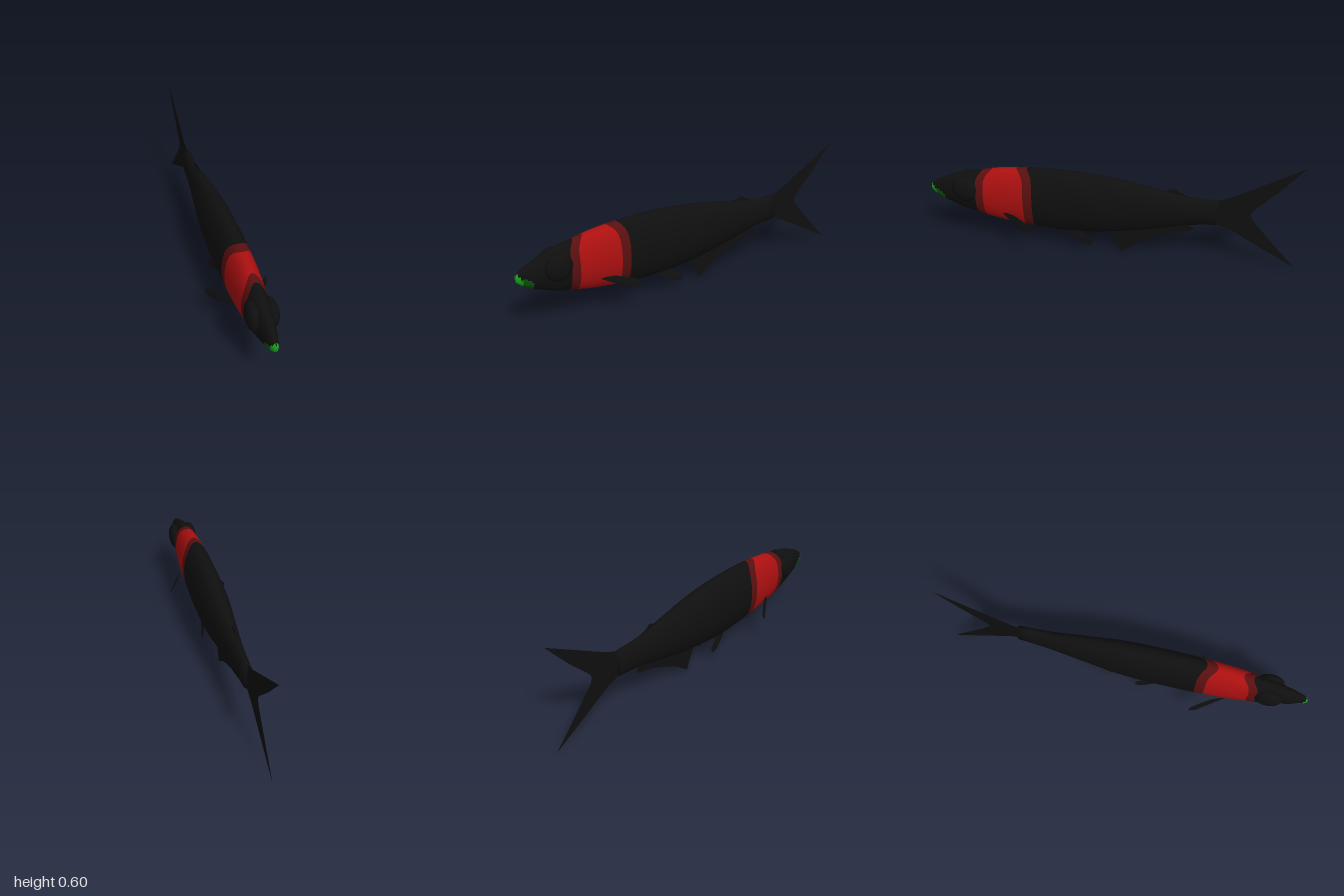
import * as THREE from 'three';

const mat = (name, color, side = THREE.FrontSide) => {
  const m = new THREE.MeshStandardMaterial({ color, side });
  m.name = name;
  return m;
};

// Body stations from snout to tail: z, belly y, back y, half width
const STATIONS = [
  [1.0, 0.295, 0.33, 0.01], [0.985, 0.28, 0.345, 0.018], [0.95, 0.255, 0.365, 0.027],
  [0.9, 0.232, 0.388, 0.037], [0.8, 0.192, 0.424, 0.052], [0.72, 0.174, 0.437, 0.061],
  [0.6, 0.147, 0.46, 0.071], [0.42, 0.125, 0.475, 0.078], [0.2, 0.115, 0.474, 0.08],
  [0.0, 0.132, 0.456, 0.077], [-0.2, 0.165, 0.422, 0.057], [-0.4, 0.21, 0.383, 0.038],
  [-0.5, 0.225, 0.377, 0.033], [-0.57, 0.23, 0.376, 0.029],
];

// Smooth interpolation between the stations
function profile(z) {
  const S = STATIONS, last = S.length - 1;
  let i = 0;
  while (i < last - 1 && z < S[i + 1][0]) i++;
  const a = S[i], b = S[i + 1], p = S[Math.max(i - 1, 0)], n = S[Math.min(i + 2, last)];
  const h = b[0] - a[0], t = (z - a[0]) / h;
  return [1, 2, 3].map((k) => {
    const ma = (b[k] - p[k]) / (b[0] - p[0]) * h, mb = (n[k] - a[k]) / (n[0] - a[0]) * h;
    return a[k] * (2 * t ** 3 - 3 * t * t + 1) + ma * (t ** 3 - 2 * t * t + t)
      + b[k] * (3 * t * t - 2 * t ** 3) + mb * (t ** 3 - t * t);
  });
}

// Material slots: 0 black, 1 dark red, 2 red, 3 dark green, 4 green
function bodySlot(z, x, y) {
  if (z > 0.92) {
    if (Math.hypot(x / 0.021, (y - 0.302) / 0.033) < 1) return 4;
    if (Math.hypot(x / 0.031, (y - 0.283) / 0.042) < 1) return 3;
    return 0;
  }
  if (z < 0.69 && z > 0.465) return 2;
  if (z < 0.735 && z > 0.415) return 1;
  return 0;
}

function bodyGeometry() {
  const N = 32, zs = [];
  for (let i = 0; i <= 10; i++) zs.push(1 - i * 0.01);
  zs.push(0.86, 0.82, 0.78, 0.735, 0.69, 0.64, 0.575, 0.51, 0.465, 0.415, 0.36);
  for (let i = 0; i <= 16; i++) zs.push(0.3 - i * 0.87 / 16);
  const pos = [], lists = [[], [], [], [], []];
  for (const z of zs) {
    for (let j = 0; j < N; j++) {
      const a = j / N * Math.PI * 2, c = Math.cos(a), s = Math.sin(a);
      // The collar narrows over the crown
      const inBand = z > 0.345 && z < 0.805;
      const shift = inBand ? -0.045 * Math.sin(Math.PI * (z - 0.575) / 0.23) * Math.max(0, s) ** 6 : 0;
      const [lo, hi, w] = profile(z + shift);
      pos.push(w * c, (lo + hi) / 2 + (hi - lo) / 2 * s, z + shift);
    }
  }
  for (let i = 0; i < zs.length - 1; i++) {
    for (let j = 0; j < N; j++) {
      const k = (j + 1) % N;
      const a = i * N + j, b = i * N + k, c = a + N, d = b + N;
      const mid = (o) => (pos[a * 3 + o] + pos[b * 3 + o] + pos[c * 3 + o] + pos[d * 3 + o]) / 4;
      lists[bodySlot((zs[i] + zs[i + 1]) / 2, mid(0), mid(1))].push(a, c, d, a, d, b);
    }
  }
  // Snout and tail caps
  const nose = pos.length / 3, end = nose + 1, base = (zs.length - 1) * N;
  pos.push(0, 0.312, 1.0, 0, 0.303, -0.57);
  for (let j = 0; j < N; j++) {
    const k = (j + 1) % N;
    lists[4].push(nose, j, k);
    lists[0].push(end, base + k, base + j);
  }
  const g = new THREE.BufferGeometry();
  g.setAttribute('position', new THREE.Float32BufferAttribute(pos, 3));
  g.setIndex(lists.flat());
  let start = 0;
  lists.forEach((l, m) => { g.addGroup(start, l.length, m); start += l.length; });
  g.computeVertexNormals();
  return g;
}

// Upright fin in the middle plane, outlined as [z, y]
function midFin(points) {
  const g = new THREE.ShapeGeometry(new THREE.Shape(points.map(([z, y]) => new THREE.Vector2(-z, y))));
  return g.rotateY(Math.PI / 2);
}

// Paired fin, a fan of triangles through [x, y, z] points
function pairedFin(points, side) {
  const g = new THREE.BufferGeometry(), index = [];
  g.setAttribute('position', new THREE.Float32BufferAttribute(points.flatMap(([x, y, z]) => [x * side, y, z]), 3));
  for (let i = 1; i < points.length - 1; i++) index.push(0, i, i + 1);
  g.setIndex(index);
  g.computeVertexNormals();
  return g;
}

export function createModel() {
  const model = new THREE.Group();
  model.name = 'fish';
  const black = mat('black', 0x0f0f0f, THREE.DoubleSide);
  const slots = [black, mat('darkRed', 0x5a0f0f), mat('red', 0xac1010),
    mat('darkGreen', 0x0c520c), mat('green', 0x18a01c)];
  const add = (name, geometry, material = black) => {
    const m = new THREE.Mesh(geometry, material);
    m.name = name;
    model.add(m);
    return m;
  };

  add('body', bodyGeometry(), slots);

  // Fins along the middle
  add('tailFin', midFin([[-0.55, 0.375], [-0.58, 0.379], [-0.64, 0.403], [-0.8, 0.492], [-0.995, 0.6],
    [-0.87, 0.455], [-0.77, 0.353], [-0.745, 0.325], [-0.74, 0.303], [-0.75, 0.278], [-0.79, 0.232],
    [-0.88, 0.13], [-0.99, 0.01], [-0.8, 0.115], [-0.64, 0.207], [-0.58, 0.228], [-0.55, 0.23]]));
  add('backFin', midFin([[-0.22, 0.4], [-0.3, 0.41], [-0.34, 0.423], [-0.365, 0.404], [-0.405, 0.388], [-0.41, 0.36]]));
  add('bellyFin', midFin([[0.0, 0.15], [0.0, 0.128], [-0.03, 0.065], [-0.057, 0.003], [-0.15, 0.072],
    [-0.22, 0.107], [-0.31, 0.145], [-0.42, 0.173], [-0.45, 0.19], [-0.42, 0.215], [-0.4, 0.23], [-0.2, 0.19]]));

  // Mirrored parts
  for (const [side, label] of [[1, 'left'], [-1, 'right']]) {
    const eye = add(label + 'Eye', new THREE.SphereGeometry(1, 24, 16));
    eye.scale.set(0.035, 0.072, 0.073);
    eye.position.set(side * 0.045, 0.333, 0.795);
    add(label + 'PectoralFin', pairedFin([[0.062, 0.215, 0.585], [0.085, 0.198, 0.545], [0.115, 0.175, 0.495],
      [0.148, 0.167, 0.45], [0.161, 0.173, 0.42], [0.164, 0.186, 0.41], [0.152, 0.202, 0.42],
      [0.125, 0.216, 0.46], [0.09, 0.225, 0.515], [0.068, 0.222, 0.56]], side));
    add(label + 'PelvicFin', pairedFin([[0.022, 0.124, 0.24], [0.036, 0.09, 0.19], [0.048, 0.063, 0.14],
      [0.053, 0.057, 0.105], [0.054, 0.07, 0.09], [0.047, 0.092, 0.095], [0.036, 0.11, 0.13],
      [0.024, 0.13, 0.16]], side));
  }
  return model;
}
